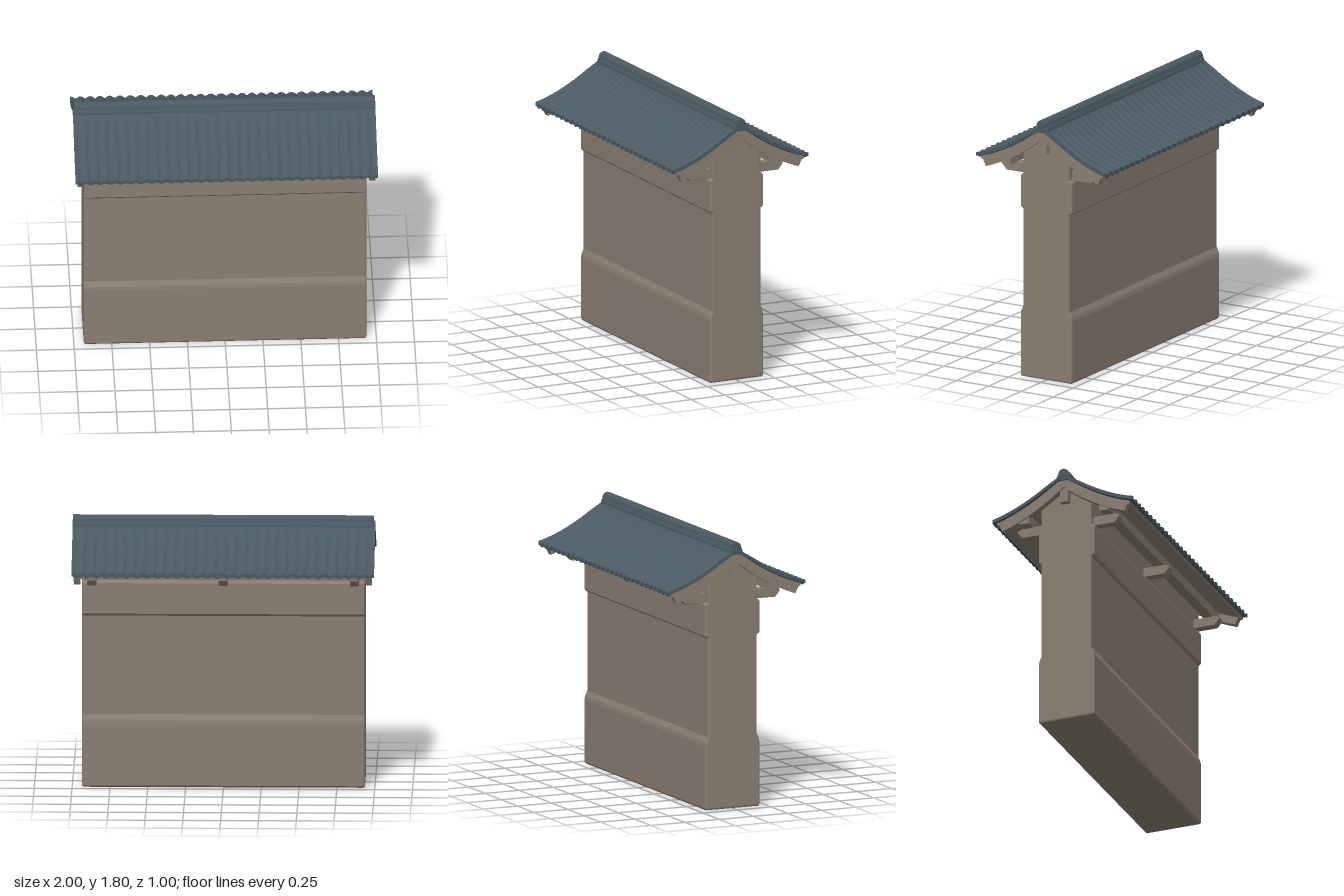
import * as THREE from 'three';

const plaster = new THREE.MeshStandardMaterial({ color: 0x8a7e72 });
plaster.name = 'plaster';
const slate = new THREE.MeshStandardMaterial({ color: 0x4a5a62 });
slate.name = 'slate';

// Height of the sagging roof surface at depth z
const roofY = (z) => 1.775 - 0.8 * Math.abs(z) + 0.53 * z * z;

function add(parent, name, geometry, material) {
  const mesh = new THREE.Mesh(geometry, material);
  mesh.name = name;
  parent.add(mesh);
  return mesh;
}

// Extrudes a (z, y) outline along x, between x0 and x1
function extrudeX(points, x0, x1, bevel = 0) {
  const shape = new THREE.Shape(points.map(([z, y]) => new THREE.Vector2(-z, y)));
  const g = new THREE.ExtrudeGeometry(shape, {
    depth: x1 - x0 - 2 * bevel,
    bevelEnabled: bevel > 0,
    bevelThickness: bevel,
    bevelSize: bevel,
    bevelOffset: -bevel,
    bevelSegments: 2,
  });
  g.rotateY(Math.PI / 2);
  g.translate(x0 + bevel, 0, 0);
  return g;
}

// Completes a half outline by mirroring it in z
const mirrored = (half) => [...half, ...half.map(([z, y]) => [-z, y]).reverse()];

// Strip that follows the roof curve between two depths below its surface
function roofStrip(top, bottom, zTop, zBottom, x0, x1) {
  const points = [];
  const n = 16;
  for (let i = 0; i <= n; i++) {
    const z = zTop * (1 - (2 * i) / n);
    points.push([z, roofY(z) - top]);
  }
  for (let i = 0; i <= n; i++) {
    const z = zBottom * ((2 * i) / n - 1);
    points.push([z, roofY(z) - bottom]);
  }
  return extrudeX(points, x0, x1);
}

// Corrugated tile sheet bent over both slopes
function tileGeometry() {
  const rolls = 30;
  const g = new THREE.BoxGeometry(2, 0.024, 0.99, rolls * 8, 1, 24);
  const p = g.attributes.position;
  for (let i = 0; i < p.count; i++) {
    const x = p.getX(i);
    const z = p.getZ(i);
    const fade = THREE.MathUtils.smoothstep(Math.abs(z), 0.05, 0.11);
    const wobble = 0.004 * Math.sin(z * 19 + x * 11);
    const wave = Math.abs(Math.cos(((x + wobble) * rolls * Math.PI) / 2));
    p.setY(i, roofY(z) - 0.022 + p.getY(i) + (wave - 0.4) * 0.017 * fade);
    if (Math.abs(z) > 0.49) p.setZ(i, z + Math.sign(z) * 0.006 * wave);
  }
  g.computeVertexNormals();
  return g;
}

export function createModel() {
  const model = new THREE.Group();
  model.name = 'roofedWall';

  // Wall with a thick plinth, a recessed middle and a raised upper band
  const wallHalf = [
    [0.19, 0], [0.2, 0.012], [0.2, 0.43], [0.196, 0.455], [0.18, 0.49],
    [0.18, 1.155], [0.19, 1.16], [0.2, 1.172], [0.2, 1.378], [0.193, 1.39],
    [0.18, 1.395], [0.18, roofY(0.18) - 0.045], [0.005, 1.72],
  ];
  add(model, 'wall', extrudeX(mirrored(wallHalf), -0.935, 0.935, 0.012), plaster);

  // Roof: soffit boards, gable boards and tiles
  const roof = new THREE.Group();
  roof.name = 'roof';
  model.add(roof);
  add(roof, 'soffit', roofStrip(0.03, 0.052, 0.475, 0.47, -0.985, 0.985), plaster);
  for (const s of [-1, 1]) {
    const x = s * 0.963;
    add(roof, 'gableBoard',
      roofStrip(0.035, 0.108, 0.465, 0.435, x - 0.022, x + 0.022), plaster);
  }
  add(roof, 'tiles', tileGeometry(), slate);

  // Rounded ridge cap
  const ridge = [[-0.05, 1.715], [0.05, 1.715], [0.046, 1.742]];
  for (let i = 0; i <= 8; i++) {
    const a = (i / 8) * Math.PI;
    ridge.push([0.036 * Math.cos(a), 1.764 + 0.036 * Math.sin(a)]);
  }
  ridge.push([-0.046, 1.742]);
  add(roof, 'ridgeCap', extrudeX(ridge, -0.992, 0.998, 0.004), slate);

  // Ridge beam showing below the gable boards
  const beam = add(model, 'ridgeBeam', new THREE.BoxGeometry(1.95, 0.1, 0.058), plaster);
  beam.position.set(0, 1.615, 0);

  // Eave beams carried by brackets on both faces
  const bracket = [[0.17, 1.39], [0.33, 1.39], [0.362, 1.43], [0.362, 1.445],
    [0.325, 1.457], [0.17, 1.457]];
  for (const s of [1, -1]) {
    const eave = new THREE.Group();
    eave.name = s > 0 ? 'frontEave' : 'backEave';
    if (s < 0) eave.rotation.y = Math.PI;
    model.add(eave);
    const purlin = add(eave, 'eaveBeam', new THREE.BoxGeometry(1.95, 0.065, 0.07), plaster);
    purlin.position.set(0, 1.487, 0.285);
    for (const x of [-0.868, 0, 0.868]) {
      add(eave, 'bracket', extrudeX(bracket, x - 0.03, x + 0.03, 0.004), plaster);
    }
  }
  return model;
}
